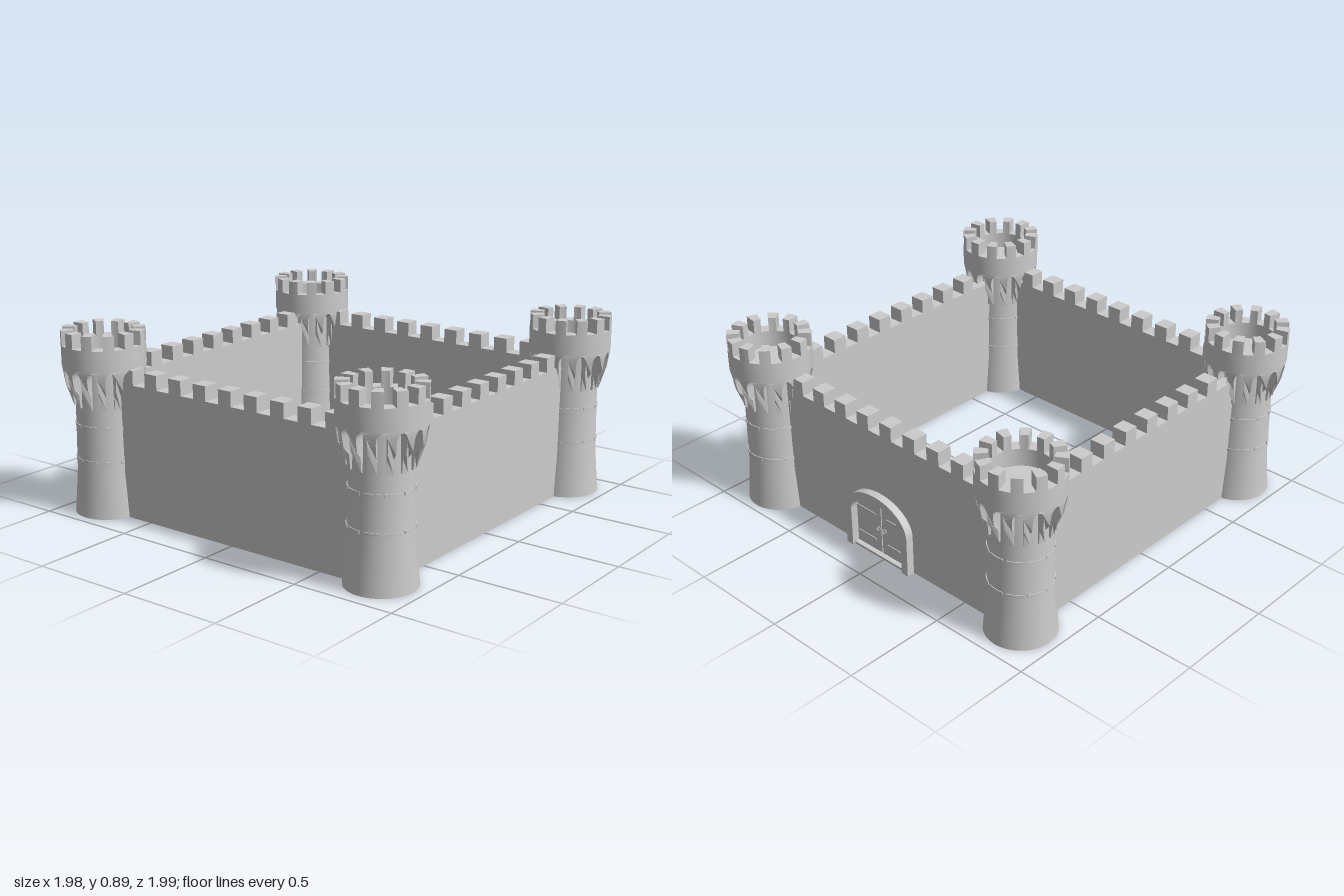
import * as THREE from 'three';
import { mergeGeometries, toCreasedNormals } from 'three/addons/utils/BufferGeometryUtils.js';

const material = new THREE.MeshStandardMaterial({ color: 0xcccccc });
const V = (x, y) => new THREE.Vector2(x, y);

function addMesh(parent, name, geometry, x = 0, y = 0, z = 0) {
  const mesh = new THREE.Mesh(geometry, material);
  mesh.name = name;
  mesh.position.set(x, y, z);
  parent.add(mesh);
  return mesh;
}

// Extrusion centred on z = 0
function slab(shape, depth) {
  const g = new THREE.ExtrudeGeometry(shape, { depth, bevelEnabled: false, curveSegments: 16 });
  g.translate(0, 0, -depth / 2);
  return toCreasedNormals(g, 0.5);
}

// Ring segment standing on y, between two radii and two angles
function sector(r0, r1, a0, a1, y, h) {
  const s = new THREE.Shape();
  s.absarc(0, 0, r1, a0, a1, false);
  s.absarc(0, 0, r0, a1, a0, true);
  const g = new THREE.ExtrudeGeometry(s, { depth: h, bevelEnabled: false, curveSegments: 5 });
  g.rotateX(-Math.PI / 2);
  g.translate(0, y, 0);
  return g;
}

function repeatSectors(count, fill, r0, r1, y, h) {
  const step = (Math.PI * 2) / count;
  const list = [];
  for (let i = 0; i < count; i++) list.push(sector(r0, r1, i * step, (i + fill) * step, y, h));
  return toCreasedNormals(mergeGeometries(list), 0.5);
}

// Outer radius of the corbels by height
const corbelCurve = [[0.53, 0.15], [0.595, 0.156], [0.625, 0.181], [0.67, 0.189], [0.72, 0.197], [0.75, 0.197]];
function corbelRadius(y) {
  for (let i = 1; i < corbelCurve.length; i++) {
    const [y0, r0] = corbelCurve[i - 1], [y1, r1] = corbelCurve[i];
    if (y <= y1) return r0 + ((r1 - r0) * Math.max(0, y - y0)) / (y1 - y0);
  }
  return 0.197;
}

// Corbels joined by small arches, bent around the tower
function corbelRing(count) {
  const half = Math.PI / count, leg = half * 0.42, spring = 0.67, rise = 0.045;
  const right = [0.53, 0.56, 0.595, 0.61, 0.625, 0.65].map(y => V(leg, y));
  for (let i = 0; i <= 6; i++) {
    const t = (i / 6) * Math.PI / 2;
    right.push(V(half - (half - leg) * Math.cos(t), spring + rise * Math.sin(t)));
  }
  right.push(V(half, 0.73));
  const left = right.map(p => V(-p.x, p.y)).reverse();
  const piece = new THREE.ExtrudeGeometry(new THREE.Shape([...right, ...left]), { depth: 1, bevelEnabled: false });
  const list = [];
  for (let i = 0; i < count; i++) {
    const g = piece.clone(), p = g.attributes.position;
    for (let k = 0; k < p.count; k++) {
      const a = p.getX(k) + i * 2 * half, y = p.getY(k);
      const r = p.getZ(k) > 0.5 ? corbelRadius(y) : 0.13;
      p.setXYZ(k, r * Math.sin(a), y, r * Math.cos(a));
    }
    list.push(g);
  }
  return toCreasedNormals(mergeGeometries(list), 0.5);
}

// Round tower: flared foot, shaft, overhanging parapet with a sunken floor
function buildTowerParts() {
  const profile = [V(0, 0), V(0.165, 0), V(0.147, 0.21), V(0.141, 0.53), V(0.14, 0.72), V(0.197, 0.72),
    V(0.197, 0.822), V(0.137, 0.822), V(0.137, 0.74), V(0, 0.74)];
  return {
    towerBody: toCreasedNormals(new THREE.LatheGeometry(profile, 48), 0.5),
    towerCorbels: corbelRing(14),
    towerMerlons: repeatSectors(12, 0.5, 0.137, 0.197, 0.82, 0.07),
    upperBand: repeatSectors(10, 0.8, 0.13, 0.1465, 0.432, 0.014),
    lowerBand: repeatSectors(10, 0.8, 0.13, 0.1495, 0.265, 0.014),
  };
}

// Points over an arched opening, from its left foot to its right foot
function archPoints(cx, rx, ry, spring, foot = 0) {
  const pts = [V(cx - rx, foot)];
  for (let i = 0; i <= 24; i++) {
    const a = Math.PI * (1 - i / 24);
    pts.push(V(cx + rx * Math.cos(a), spring + ry * Math.sin(a)));
  }
  pts.push(V(cx + rx, foot));
  return pts;
}

// Wall with battlements; merlons are spaced evenly from a given one
function wall(merlon, count, opening = []) {
  const end = 0.7, low = 0.652, high = 0.722, w = 0.0365, step = 0.1485;
  const pts = [V(-end, 0), ...opening, V(end, 0), V(end, low)];
  for (let i = count - 1; i >= 0; i--) {
    const x = merlon + i * step;
    pts.push(V(x + w, low), V(x + w, high), V(x - w, high), V(x - w, low));
  }
  pts.push(V(-end, low));
  return slab(new THREE.Shape(pts), 0.076);
}

const gateX = 0.03, spring = 0.2;

function createGate() {
  const gate = new THREE.Group();
  gate.name = 'gate';
  // Raised stone surround
  const frame = new THREE.Shape([...archPoints(0, 0.205, 0.14, spring), ...archPoints(0, 0.165, 0.105, spring).reverse()]);
  addMesh(gate, 'gateFrame', slab(frame, 0.05), 0, 0, -0.84);
  addMesh(gate, 'doorstep', new THREE.BoxGeometry(0.34, 0.012, 0.085), 0, 0.006, -0.81);
  // Two leaves with a seam between them
  for (const side of [-1, 1]) {
    const leaf = archPoints(0, 0.165, 0.105, spring, 0.01)
      .filter(p => p.x * side > 0.004);
    const edge = side * 0.003;
    leaf.push(V(edge, side > 0 ? 0.01 : 0.305));
    leaf.push(V(edge, side > 0 ? 0.305 : 0.01));
    addMesh(gate, 'doorLeaf', slab(new THREE.Shape(leaf), 0.025), 0, 0, -0.815);
    for (const y of [0.07, 0.21]) {
      addMesh(gate, 'hingeStrap', new THREE.BoxGeometry(0.125, 0.012, 0.033), side * 0.1, y, -0.815);
    }
    const handle = addMesh(gate, 'doorHandle', new THREE.TorusGeometry(0.011, 0.003, 6, 16), side * 0.02, 0.14, -0.83);
    handle.rotation.x = 0.1;
  }
  // Core behind the seam
  addMesh(gate, 'doorSeam', new THREE.BoxGeometry(0.02, 0.29, 0.012), 0, 0.15, -0.815);
  gate.position.x = gateX;
  return gate;
}

export function createModel() {
  const castle = new THREE.Group();
  castle.name = 'castle';

  // Corner towers
  const parts = buildTowerParts();
  [[-0.795, -0.78], [0.787, -0.8], [-0.795, 0.793], [0.787, 0.773]].forEach(([x, z], i) => {
    const tower = new THREE.Group();
    tower.name = 'tower';
    for (const [name, geometry] of Object.entries(parts)) addMesh(tower, name, geometry);
    tower.position.set(x, 0, z);
    tower.rotation.y = i * 0.13;
    castle.add(tower);
  });

  // Walls between the towers
  addMesh(castle, 'frontWall', wall(-0.616, 9), 0, 0, 0.79);
  addMesh(castle, 'backWall', wall(-0.616, 9, archPoints(gateX, 0.165, 0.105, spring)), 0, 0, -0.788);
  const sideWall = wall(-0.559, 8);
  for (const [name, x] of [['rightWall', -0.797], ['leftWall', 0.782]]) {
    addMesh(castle, name, sideWall, x).rotation.y = -Math.PI / 2;
  }

  castle.add(createGate());
  return castle;
}
